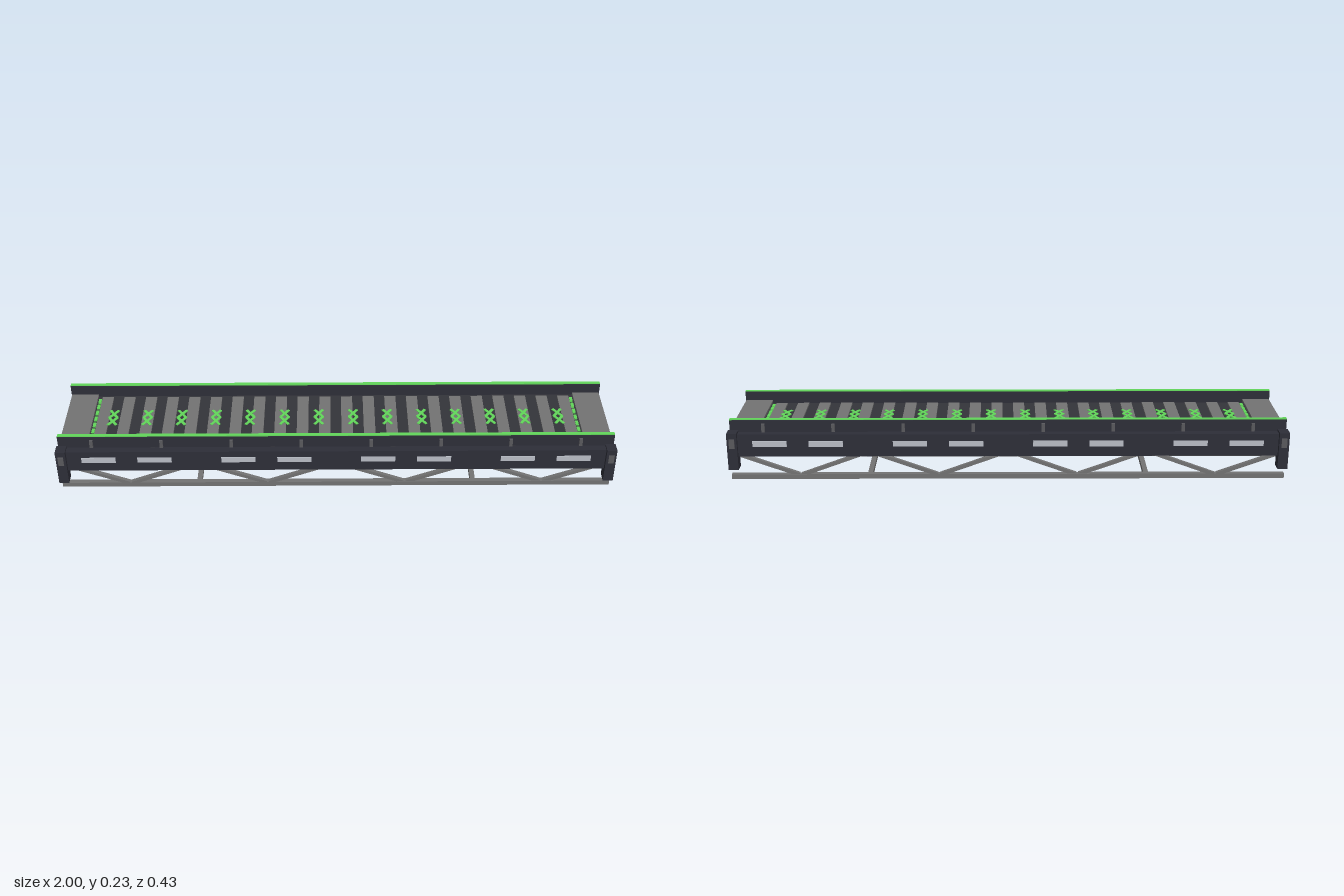
import * as THREE from 'three';

const mat = (name, color) => {
  const m = new THREE.MeshStandardMaterial({ color });
  m.name = name;
  return m;
};

export function createModel() {
  const model = new THREE.Group();
  model.name = 'bridge';

  const navy = mat('dark navy panel', 0x2d2e38);
  const charcoal = mat('charcoal deck', 0x34353a);
  const endGrey = mat('end beam grey', 0x59595d);
  const steel = mat('steel grey', 0x737373);
  const green = mat('glowing green', 0x62d65a);
  const lamp = mat('pale lamp', 0xbabec6);

  // Box given by its low and high limits on each axis
  const box = (name, m, [x0, x1], [y0, y1], [z0, z1], parent = model) => {
    const mesh = new THREE.Mesh(new THREE.BoxGeometry(x1 - x0, y1 - y0, z1 - z0), m);
    mesh.position.set((x0 + x1) / 2, (y0 + y1) / 2, (z0 + z1) / 2);
    mesh.name = name;
    parent.add(mesh);
    return mesh;
  };
  const around = (c, w) => [c - w / 2, c + w / 2];
  const sideRange = (s, a, b) => (s > 0 ? [a, b] : [-b, -a]);

  // Deck slab with a lighter beam closing each end
  box('deckSlab', charcoal, [-0.98, 0.98], [0.135, 0.18], [-0.172, 0.172]);
  for (const s of [-1, 1]) {
    box('endBeam', endGrey, sideRange(s, 0.98, 0.995), [0.135, 0.18], [-0.175, 0.175]);
    box('endPlate', steel, sideRange(s, 0.89, 0.99), [0.19, 0.198], [-0.135, 0.135]);
    // Dashed threshold line
    for (let i = 0; i < 7; i++)
      box('thresholdDash', green, around(s * 0.883, 0.011), [0.18, 0.186], around((i - 3) * 0.037, 0.024));
  }

  // Deck slats
  const slats = 22;
  for (let i = 0; i < slats; i++) {
    const x = -0.855 + (1.71 * i) / (slats - 1);
    box('deckSlat', steel, around(x, 0.042), [0.18, 0.187], [-0.132, 0.132]);
  }

  // Green markers: two small crosses meeting in a diamond
  for (let i = 0; i < 14; i++) {
    const marker = new THREE.Group();
    marker.name = 'deckMarker';
    marker.position.set(-0.819 + i * 0.126, 0.188, 0);
    for (const z of [-0.022, 0.022])
      for (const turn of [-1, 1]) {
        const bar = box('markerBar', green, around(0, 0.01), around(0, 0.003), around(0, 0.054), marker);
        bar.position.z = z;
        bar.rotation.y = turn * 0.6;
      }
    model.add(marker);
  }

  // Parts repeated on both long sides
  for (const s of [-1, 1]) {
    const side = new THREE.Group();
    side.name = s > 0 ? 'frontSide' : 'backSide';
    model.add(side);
    const part = (name, m, x, y, a, b) => box(name, m, x, y, sideRange(s, a, b), side);

    part('girder', navy, [-0.97, 0.97], [0.1, 0.183], 0.172, 0.2);
    part('rail', navy, [-0.995, 0.995], [0.178, 0.225], 0.148, 0.168);
    part('railLight', green, [-0.995, 0.995], [0.225, 0.228], 0.151, 0.165);

    for (let i = 0; i < 8; i++)
      part('railBracket', endGrey, around(-0.875 + i * 0.25, 0.012), [0.183, 0.213], 0.168, 0.176);

    for (const x of [0.15, 0.35, 0.65, 0.85])
      for (const e of [-1, 1])
        part('sideLamp', lamp, around(e * x, 0.122), around(0.148, 0.021), 0.2, 0.203);

    for (const e of [-1, 1]) {
      part('cornerPost', navy, around(e * 0.982, 0.036), [0.054, 0.19], 0.172, 0.213);
      part('postPlate', endGrey, around(e * 0.982, 0.02), [0.135, 0.17], 0.213, 0.217);
    }

    // Truss chords and zigzag diagonals
    part('bottomChord', steel, [-1, 1], [0, 0.018], 0.15, 0.169);
    part('topChord', steel, [-0.965, 0.965], [0.102, 0.117], 0.154, 0.168);
    for (let i = 0; i < 8; i++) {
      const x0 = -1 + i * 0.25;
      const down = i % 2 === 0 ? -1 : 1;
      const d = part('trussDiagonal', steel, around(0, Math.hypot(0.24, 0.088)), around(0, 0.013), 0.154, 0.168);
      d.position.x = x0 + 0.125;
      d.position.y = 0.059;
      d.rotation.z = down * Math.atan2(0.088, 0.24);
    }
  }

  // Cross members below the deck
  for (const x of [-0.5, 0, 0.5])
    box('crossBeam', navy, around(x, 0.02), [0.085, 0.12], [-0.163, 0.163]);
  for (const x of [-0.5, 0.5])
    box('bottomTie', steel, around(x, 0.018), [0.001, 0.017], [-0.15, 0.15]);

  // Six-sided service pipe
  const pipeGeo = new THREE.CylinderGeometry(0.0145, 0.0145, 2, 6).toNonIndexed();
  pipeGeo.computeVertexNormals();
  const pipe = new THREE.Mesh(pipeGeo, steel);
  pipe.name = 'servicePipe';
  pipe.rotation.z = Math.PI / 2;
  pipe.position.y = 0.035;
  model.add(pipe);

  return model;
}
